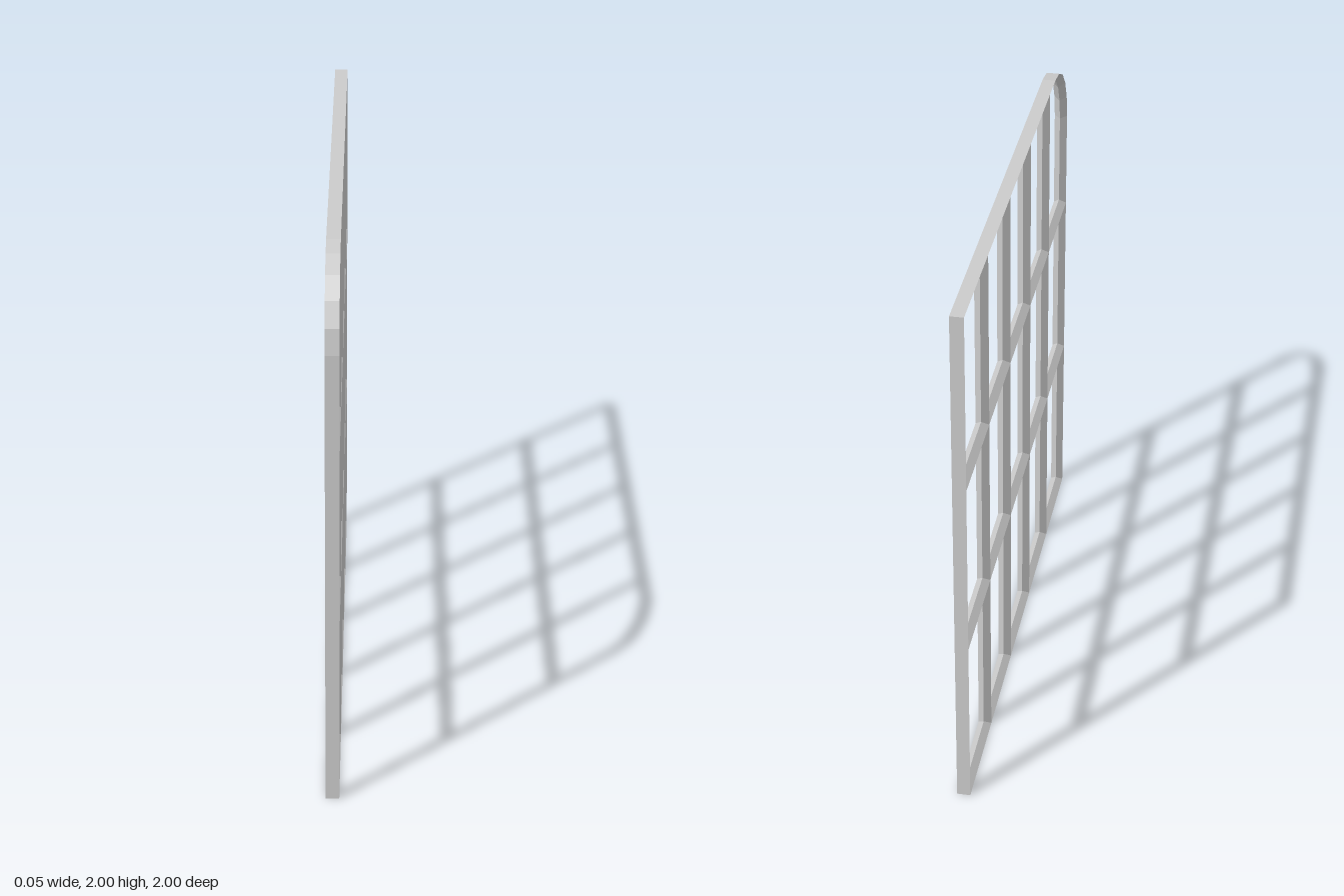
import * as THREE from 'three';

const COLS = 5, ROWS = 3, SIZE = 2;
const HALF = 0.024;    // half thickness of a bar, also the inset of its inner edge
const RADIUS = 0.286;  // rounded top front corner
const ARC_STEPS = 5;

// Offsets a closed counter-clockwise outline inwards with mitred corners.
function inset(points, d) {
  const n = points.length;
  return points.map((p, i) => {
    const e1 = p.clone().sub(points[(i + n - 1) % n]).normalize();
    const e2 = points[(i + 1) % n].clone().sub(p).normalize();
    const n1 = new THREE.Vector2(-e1.y, e1.x);
    const n2 = new THREE.Vector2(-e2.y, e2.x);
    const m = n1.clone().add(n2);
    return p.clone().addScaledVector(m, d / (1 + n1.dot(n2)));
  });
}

// Edges on inner grid lines are shared by two cells and need no outer face.
function isShared(a, b) {
  const same = (s, t) => Math.abs(s - t) < 1e-6;
  return (same(a.x, b.x) && Math.abs(a.x) < SIZE / 2 - 1e-6) ||
    (same(a.y, b.y) && a.y > 1e-6 && a.y < SIZE - 1e-6);
}

// Ring of triangular section round one cell; neighbours meet as diamond bars.
function cellGeometry(outline) {
  const inner = inset(outline, HALF);
  const pos = [];
  const at = (p, x) => [x, p.y, -p.x];
  const quad = (a, b, c, d) => pos.push(...a, ...b, ...c, ...a, ...c, ...d);
  outline.forEach((A, i) => {
    const j = (i + 1) % outline.length;
    const B = outline[j], a = inner[i], b = inner[j];
    quad(at(A, HALF), at(B, HALF), at(b, 0), at(a, 0));
    quad(at(a, 0), at(b, 0), at(B, -HALF), at(A, -HALF));
    if (!isShared(A, B)) quad(at(A, HALF), at(A, -HALF), at(B, -HALF), at(B, HALF));
  });
  const geo = new THREE.BufferGeometry();
  geo.setAttribute('position', new THREE.Float32BufferAttribute(pos, 3));
  geo.computeVertexNormals();
  return geo;
}

export function createModel() {
  const group = new THREE.Group();
  group.name = 'windowLattice';
  const material = new THREE.MeshStandardMaterial({ color: 0xcccccc, flatShading: true });
  const w = SIZE / COLS, h = SIZE / ROWS;

  for (let r = 0; r < ROWS; r++) {
    for (let c = 0; c < COLS; c++) {
      const u0 = -SIZE / 2 + c * w, u1 = u0 + w, y0 = r * h, y1 = y0 + h;
      const outline = [[u0, y0], [u1, y0], [u1, y1]].map(([u, y]) => new THREE.Vector2(u, y));
      const rounded = c === 0 && r === ROWS - 1;
      if (rounded) {
        // Quarter arc from the top edge down to the front edge
        for (let k = 0; k <= ARC_STEPS; k++) {
          const t = Math.PI / 2 * (1 + k / ARC_STEPS);
          outline.push(new THREE.Vector2(
            u0 + RADIUS + RADIUS * Math.cos(t), y1 - RADIUS + RADIUS * Math.sin(t)));
        }
      } else {
        outline.push(new THREE.Vector2(u0, y1));
      }
      const mesh = new THREE.Mesh(cellGeometry(outline), material);
      mesh.name = rounded ? 'roundedCornerCellFrame' : `cellFrameRow${r + 1}Column${c + 1}`;
      group.add(mesh);
    }
  }
  return group;
}
